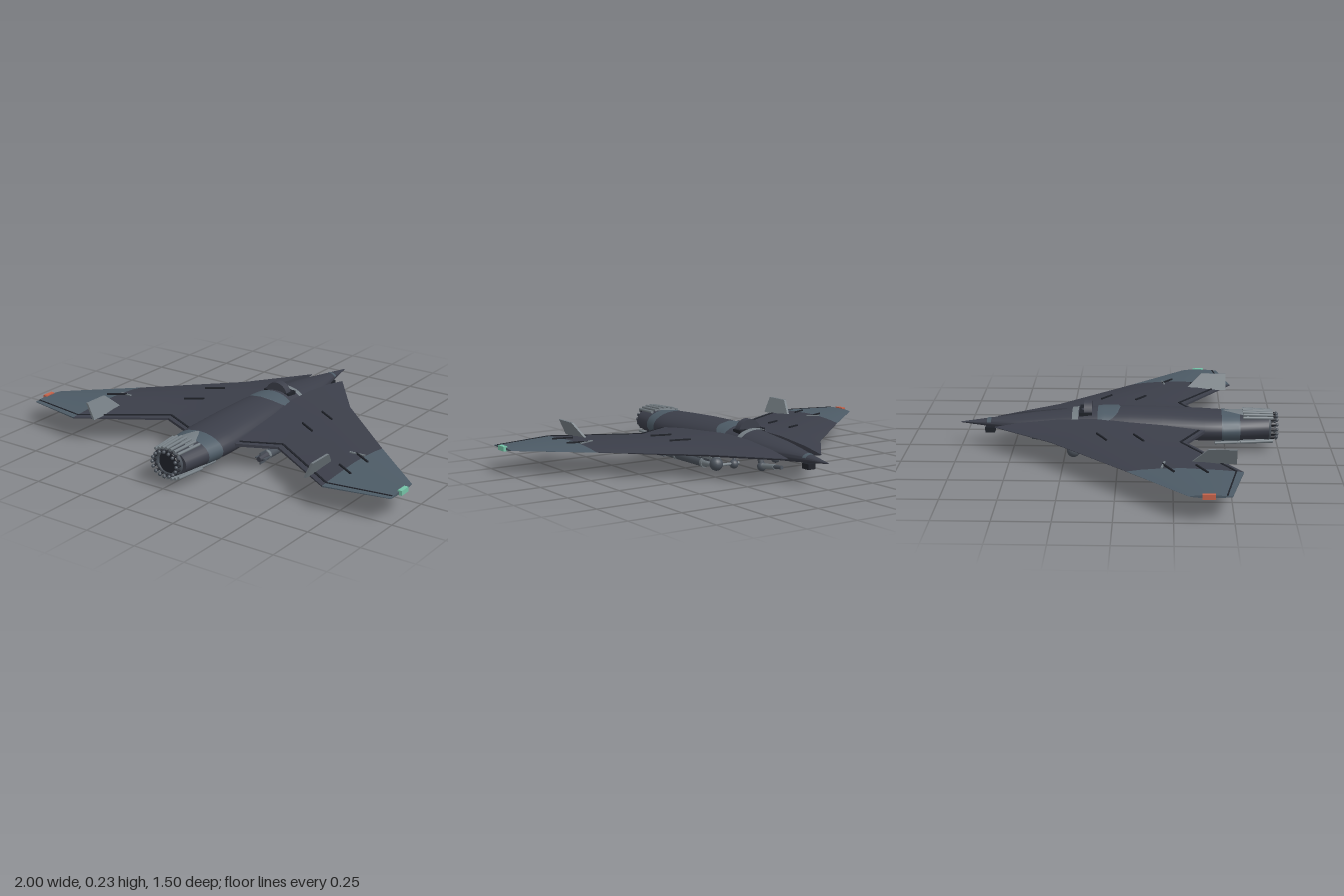
import * as THREE from 'three';
import { toCreasedNormals } from 'three/addons/utils/BufferGeometryUtils.js';

const mat = (name, color) => Object.assign(new THREE.MeshStandardMaterial({ color }), { name });
const hull = mat('hull charcoal', 0x3b3e49);
const slate = mat('slate panel', 0x4c5a65);
const steel = mat('steel grey', 0x737c82);
const gunmetal = mat('gunmetal', 0x4a515a);
const dark = mat('near black', 0x1f2229);
const red = mat('red lamp', 0xc4624a);
const green = mat('green lamp', 0x74c2a6);

// Linear lookup in rows of [key, value, value...]
function lookup(rows, k) {
  let i = 0;
  while (i < rows.length - 2 && k > rows[i + 1][0]) i++;
  const a = rows[i], b = rows[i + 1];
  const t = THREE.MathUtils.clamp((k - a[0]) / (b[0] - a[0]), 0, 1);
  return a.map((v, j) => v + (b[j] - v) * t);
}

// Closed skin through rings of points, capped at both ends
function loft(rings, crease, flip = false) {
  const n = rings[0].length, pos = rings.flat(2), idx = [];
  for (let i = 0; i < rings.length - 1; i++)
    for (let j = 0; j < n; j++) {
      const a = i * n + j, b = i * n + (j + 1) % n;
      idx.push(a, b, a + n, b, b + n, a + n);
    }
  const last = (rings.length - 1) * n;
  for (let j = 1; j < n - 1; j++) idx.push(0, j + 1, j, last, last + j, last + j + 1);
  if (flip) for (let i = 0; i < idx.length; i += 3) [idx[i], idx[i + 1]] = [idx[i + 1], idx[i]];
  const g = new THREE.BufferGeometry();
  g.setAttribute('position', new THREE.Float32BufferAttribute(pos, 3));
  g.setIndex(idx);
  return toCreasedNormals(g, crease);
}

// Fuselage stations: z, half width, top y, bottom y
const STATIONS = [
  [-0.75, 0.002, 0.122, 0.118], [-0.6, 0.033, 0.142, 0.1], [-0.5, 0.06, 0.154, 0.09],
  [-0.39, 0.085, 0.167, 0.08], [-0.2, 0.098, 0.187, 0.068], [-0.08, 0.113, 0.199, 0.062],
  [0.05, 0.125, 0.2, 0.057], [0.2, 0.131, 0.197, 0.053], [0.4, 0.135, 0.188, 0.05],
  [0.48, 0.128, 0.184, 0.05], [0.56, 0.115, 0.181, 0.051], [0.7, 0.092, 0.175, 0.055]];
function bodyPoint(z, angle, lift = 0) {
  const [, w, top, bottom] = lookup(STATIONS, z);
  return [(w + lift) * Math.cos(angle), (top + bottom) / 2 + ((top - bottom) / 2 + lift) * Math.sin(angle), z];
}

// Thin plate following the fuselage skin; half(t) is its angular half width
function skinPlate(z0, z1, center, half, lift) {
  const g = new THREE.PlaneGeometry(1, 1, 24, 10), p = g.attributes.position;
  for (let i = 0; i < p.count; i++) {
    const t = 0.5 - p.getY(i);
    p.setXYZ(i, ...bodyPoint(z0 + (z1 - z0) * t, center - p.getX(i) * 2 * half(t), lift));
  }
  g.computeVertexNormals();
  return g;
}

// Wing stations: x, leading z, trailing z, half thickness, middle y
const WING = [[0.09, -0.585, 0.42, 0.045, 0.122], [0.31, -0.3, 0.315, 0.035, 0.12],
  [0.69, 0.05, 0.55, 0.018, 0.117], [0.985, 0.31, 0.49, 0.007, 0.115]];
const FOIL = [[0, 0.03], [0.12, 0.5], [0.3, 0.9], [0.5, 1], [0.8, 0.62], [1, 0.16]];
function wingRing(x, s) {
  const [, lead, trail, h, y] = lookup(WING, x);
  const at = sign => ([f, t]) => [s * x, y + sign * t * h, lead + (trail - lead) * f];
  return [...FOIL.map(at(1)), ...FOIL.map(at(-1)).reverse()];
}
function wingTop(x, z) {
  const [, lead, trail, h, y] = lookup(WING, x);
  return y + h * lookup(FOIL, (z - lead) / (trail - lead))[1];
}

export function createModel() {
  const model = new THREE.Group();
  model.name = 'aircraft';
  const add = (name, geometry, material, x = 0, y = 0, z = 0) => {
    const m = new THREE.Mesh(geometry, material);
    m.name = name;
    m.position.set(x, y, z);
    model.add(m);
    return m;
  };
  const box = (name, w, h, d, m, x, y, z) => add(name, new THREE.BoxGeometry(w, h, d), m, x, y, z);
  const ball = (name, r, m, x, y, z) => add(name, new THREE.SphereGeometry(r, 16, 12), m, x, y, z);
  // Round rod from point a to point b
  const rod = (name, a, b, ra, rb, m) => {
    const A = new THREE.Vector3(...a), B = new THREE.Vector3(...b), d = B.clone().sub(A);
    const r = add(name, new THREE.CylinderGeometry(rb, ra, d.length(), 12), m);
    r.position.copy(A).lerp(B, 0.5);
    r.quaternion.setFromUnitVectors(new THREE.Vector3(0, 1, 0), d.normalize());
  };
  // Thin strip lying on the upper wing from (x0, z0) to (x1, z1)
  const wingStrip = (name, s, x0, z0, x1, z1, w, h, m) => {
    const A = new THREE.Vector3(s * x0, wingTop(x0, z0), z0), B = new THREE.Vector3(s * x1, wingTop(x1, z1), z1);
    const strip = box(name, w, h, A.distanceTo(B), m, 0, 0, 0);
    strip.position.copy(A).lerp(B, 0.5);
    strip.lookAt(B);
  };

  // Fuselage and its skin panels
  const ring = z => Array.from({ length: 32 }, (_, j) => bodyPoint(z, j / 16 * Math.PI));
  add('fuselage', loft(STATIONS.map(r => ring(r[0])), 0.7), hull);
  const UP = Math.PI / 2;
  add('rearBand', skinPlate(0.48, 0.565, UP, () => Math.PI, 0.002), slate);
  add('noseBand', skinPlate(-0.625, -0.605, UP, () => 1.3, 0.002), slate);
  add('canopy', skinPlate(-0.1, 0.005, UP, t => 1.25 * Math.sqrt(1 - t * t), 0.003), slate);
  add('canopyFrame', skinPlate(-0.22, -0.19, UP, () => 1.3, 0.007), steel);
  box('spineSlot', 0.14, 0.02, 0.06, dark, 0, 0.179, -0.157);
  const hump = add('spineIntake', new THREE.CylinderGeometry(0.06, 0.06, 0.037, 28), hull, 0, 0.173, -0.146);
  hump.rotation.x = UP;

  // Exhaust: upper and lower fairings with prongs
  add('upperFairing', skinPlate(0.49, 0.63, UP, t => 0.05 + 0.6 * t, 0.005), steel);
  add('lowerFairing', skinPlate(0.45, 0.7, -UP, t => 0.35 + 0.4 * t, 0.006), steel);
  for (let i = -3; i <= 3; i++) {
    const prong = (name, angle, z0, lift) => rod(name, bodyPoint(z0, angle, lift),
      [...bodyPoint(0.7, angle, lift).slice(0, 2), 0.72], 0.007, 0.007, steel);
    prong('upperProng', UP + i * 0.22, 0.58, 0.008);
    prong('lowerProng', -UP + i * 0.22, i % 2 ? 0.57 : 0.45, 0.012);
  }
  const nozzle = add('nozzleRing', new THREE.TorusGeometry(0.056, 0.01, 8, 32), gunmetal, 0, 0.115, 0.703);
  nozzle.scale.x = 1.15;
  const core = add('nozzleCore', new THREE.CylinderGeometry(0.048, 0.055, 0.012, 28), dark, 0, 0.115, 0.705);
  core.rotation.x = UP;
  for (let i = 0; i < 16; i++) {
    const c = Math.cos(i * Math.PI / 8), s = Math.sin(i * Math.PI / 8);
    rod('nozzleSpike', [c * 0.068, 0.115 + s * 0.058, 0.69], [c * 0.066, 0.115 + s * 0.057, 0.738], 0.005, 0.005, dark);
    ball('nozzleBead', 0.008, gunmetal, c * 0.066, 0.115 + s * 0.057, 0.738);
  }

  for (const s of [1, -1]) {
    // Wing, painted tip and lamp
    const span = xs => loft(xs.map(x => wingRing(x, s)), 0.45, s < 0);
    add('wing', span([0.09, 0.2, 0.31, 0.5, 0.69]), hull);
    add('wingTip', span([0.69, 0.985]), slate);
    box('tipLamp', 0.02, 0.022, 0.055, s > 0 ? green : red, s * 0.988, 0.116, 0.393);

    // Control surface seams and short wing strips
    wingStrip('flapSeam', s, 0.14, 0.372, 0.315, 0.285, 0.009, 0.006, dark);
    wingStrip('elevonSeam', s, 0.315, 0.285, 0.69, 0.518, 0.009, 0.006, dark);
    wingStrip('tipSeam', s, 0.69, 0.518, 0.98, 0.468, 0.006, 0.005, dark);
    for (const [x, z] of [[0.28, -0.095], [0.28, 0.072], [0.65, 0.205], [0.65, 0.348]])
      wingStrip('wingStrip', s, x, z, x + 0.085, z + 0.048, 0.007, 0.014, dark);
    wingStrip('probe', s, 0.62, 0.213, 0.69, 0.2, 0.008, 0.01, steel);

    // Outward leaning fin
    const fin = [[0.32, 0], [0.525, 0], [0.525, 1], [0.4, 1]];
    const finRing = off => fin.map(([z, t]) => [s * (0.588 + 0.035 * t + off), 0.122 + 0.075 * t, z]);
    // Corner order runs from z towards y, so the flip is opposite to the wing's
    add('fin', loft([finRing(-0.006), finRing(0.006)], 0.3, s > 0), steel);

    // Underwing store on its pylon
    const x = s * 0.205;
    box('pylon', 0.02, 0.05, 0.3, gunmetal, x, 0.08, 0);
    box('pylonRail', 0.032, 0.012, 0.35, steel, x, 0.073, -0.025);
    rod('storeBody', [x, 0.04, -0.09], [x, 0.04, 0.25], 0.021, 0.021, gunmetal);
    rod('storeNose', [x, 0.04, -0.165], [x, 0.04, -0.09], 0.006, 0.021, steel);
    rod('storeTail', [x, 0.04, 0.25], [x, 0.04, 0.315], 0.021, 0.012, hull);
    for (const z of [-0.09, 0.14, 0.25])
      rod('storeBand', [x, 0.04, z - 0.008], [x, 0.04, z + 0.008], 0.023, 0.023, steel);
    for (const [w, h] of [[0.056, 0.004], [0.004, 0.056]])
      box('storeFins', w, h, 0.05, gunmetal, x, 0.04, 0.28);

    // Sensor balls joined by a cross arm
    ball('sensorBall', 0.031, gunmetal, s * 0.215, 0.053, -0.205);
    ball('smallBall', 0.021, gunmetal, s * 0.118, 0.042, -0.205);
    rod('crossArm', [s * 0.215, 0.045, -0.205], [s * 0.09, 0.045, -0.205], 0.007, 0.007, steel);
    rod('ballStrut', [s * 0.215, 0.06, -0.205], [s * 0.215, 0.11, -0.18], 0.01, 0.014, gunmetal);
    rod('smallStrut', [s * 0.118, 0.042, -0.205], [s * 0.1, 0.105, -0.19], 0.007, 0.009, gunmetal);
  }

  // Belly turret and gun
  ball('turret', 0.022, gunmetal, 0, 0.026, -0.26);
  rod('turretMount', [0, 0.026, -0.26], [0, 0.085, -0.24], 0.012, 0.016, gunmetal);
  rod('gunSleeve', [0, 0.03, -0.27], [0, 0.041, -0.36], 0.012, 0.012, steel);
  rod('gunBarrel', [0, 0.041, -0.36], [0, 0.047, -0.415], 0.009, 0.009, gunmetal);

  // Chin sensor under the nose
  box('chinSensor', 0.04, 0.025, 0.046, dark, 0, 0.087, -0.612);
  return model;
}
